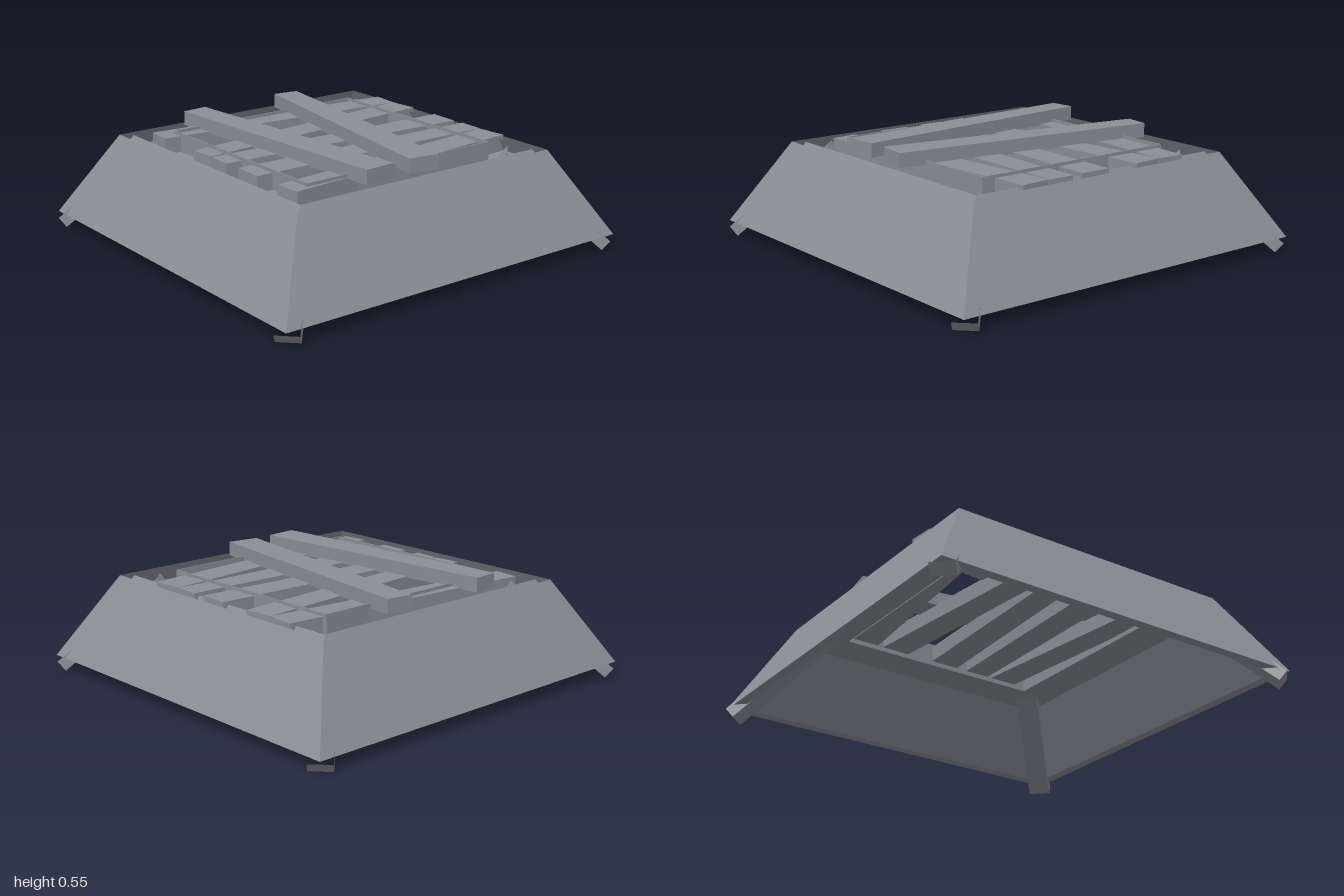
import * as THREE from 'three';

const color = 0x8a8e96;
const thinMaterial = new THREE.MeshStandardMaterial({ color, flatShading: true, side: THREE.DoubleSide });
const solidMaterial = new THREE.MeshStandardMaterial({ color, flatShading: true });

function addMesh(parent, name, geometry, material) {
  const mesh = new THREE.Mesh(geometry, material);
  mesh.name = name;
  parent.add(mesh);
  return mesh;
}

// Square ring swept from a profile of [half width, height] points
function addRing(parent, name, profile) {
  const points = profile.map(([r, y]) => new THREE.Vector2(r * Math.SQRT2, y));
  return addMesh(parent, name, new THREE.LatheGeometry(points, 4, Math.PI / 4), thinMaterial);
}

// Flat tapered board between two end centres, with a width for each end
function addBoard(parent, name, [x1, z1, width1], [x2, z2, width2], y, thickness) {
  const length = Math.hypot(x2 - x1, z2 - z1);
  const geometry = new THREE.BoxGeometry(length, thickness, 1);
  const position = geometry.attributes.position;
  for (let i = 0; i < position.count; i++) {
    position.setZ(i, position.getZ(i) * (position.getX(i) < 0 ? width1 : width2));
  }
  geometry.computeVertexNormals();
  const board = addMesh(parent, name, geometry, solidMaterial);
  board.position.set((x1 + x2) / 2, y, (z1 + z2) / 2);
  board.rotation.y = -Math.atan2(z2 - z1, x2 - x1);
}

// Leg box without its outer face, which lies against the skirt
function legGeometry(length) {
  const geometry = new THREE.BoxGeometry(0.11, length, 0.06);
  const index = Array.from(geometry.index.array);
  index.splice(24, 6);
  geometry.setIndex(index);
  return geometry;
}

export function createModel() {
  const group = new THREE.Group();
  group.name = 'slattedPlatform';

  // Sloped double-walled skirt, open along the top rim
  addRing(group, 'skirt', [[0.685, 0.475], [0.92, 0.065], [0.97, 0.065], [0.735, 0.475]]);

  // Inner ledge carrying the slats, and its thin raised lip
  addRing(group, 'ledge', [[0.735, 0.39], [0.725, 0.41], [0.54, 0.41], [0.54, 0.39], [0.735, 0.39]]);
  addRing(group, 'ledgeLip', [[0.54, 0.39], [0.54, 0.505], [0.535, 0.505], [0.535, 0.39]]);

  // Splayed corner legs
  for (const sx of [-1, 1]) {
    for (const sz of [-1, 1]) {
      const foot = new THREE.Vector3(0.945 * sx, 0.024, 0.945 * sz);
      const head = new THREE.Vector3(0.59 * sx, 0.45, 0.59 * sz);
      const axis = head.clone().sub(foot);
      const length = axis.length();
      axis.normalize();
      const side = new THREE.Vector3(sz, 0, -sx).normalize().multiplyScalar(sx * sz);
      if (sx * sz < 0) side.negate();
      const outward = new THREE.Vector3().crossVectors(side, axis);
      const leg = addMesh(group, 'leg', legGeometry(length), solidMaterial);
      leg.quaternion.setFromRotationMatrix(new THREE.Matrix4().makeBasis(side, axis, outward));
      leg.position.copy(foot).addScaledVector(axis, length / 2);
    }
  }

  // Uneven slats: z and width at the -x end, then at the +x end
  const slats = [
    [-0.555, 0.13, -0.43, 0.145],
    [-0.165, 0.13, -0.285, 0.15],
    [-0.025, 0.13, 0.035, 0.155],
    [0.205, 0.155, 0.235, 0.13],
    [0.505, 0.13, 0.38, 0.155],
  ];
  for (const [z1, width1, z2, width2] of slats) {
    addBoard(group, 'slat', [-0.62, z1, width1], [0.71, z2, width2], 0.45, 0.08);
  }

  // Two cross planks on top: x at the back, x at the front
  for (const [x1, x2] of [[-0.335, -0.23], [0.23, 0.025]]) {
    addBoard(group, 'crossPlank', [x1, -0.675, 0.13], [x2, 0.66, 0.16], 0.518, 0.07);
  }

  return group;
}
